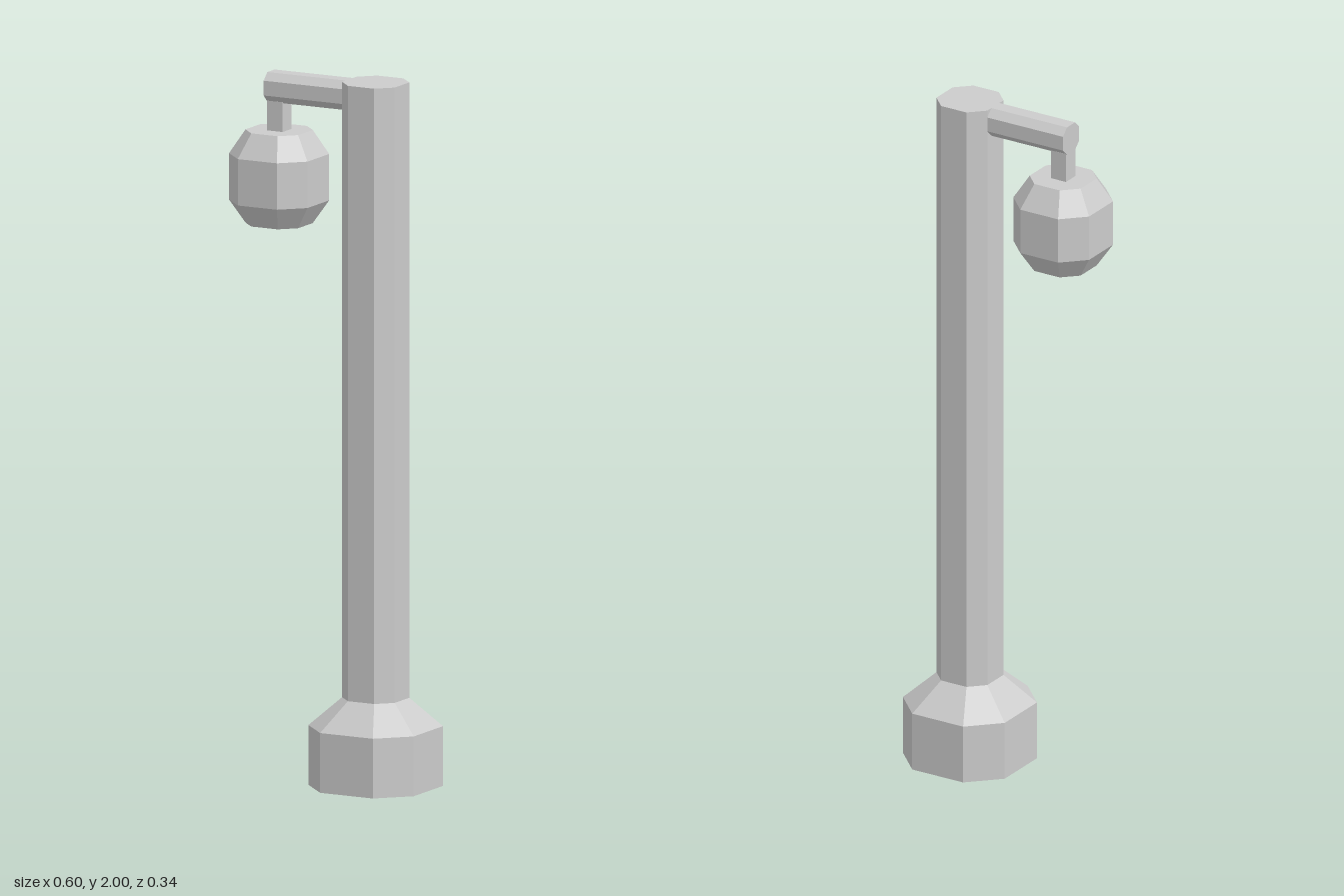
import * as THREE from 'three';

const material = new THREE.MeshStandardMaterial({ color: 0xcccccc, flatShading: true });

// Octagonal section: a square of half width h with its corners cut off, leaving flats of half width h / 2
function ring(y, h) {
  const f = h / 2;
  return [[h, f], [h, -f], [f, -h], [-f, -h], [-h, -f], [-h, f], [-f, h], [f, h]]
    .map(([x, z]) => new THREE.Vector3(x, y, z));
}

// Joins [height, halfWidth] sections along y and closes the chosen ends
function octagonLoft(sections, capBottom = true, capTop = true) {
  const rings = sections.map(([y, h]) => ring(y, h));
  const last = rings[rings.length - 1];
  const points = [];
  for (let r = 0; r < rings.length - 1; r++) {
    for (let k = 0; k < 8; k++) {
      const n = (k + 1) % 8;
      const a = rings[r][k], b = rings[r][n], c = rings[r + 1][n], d = rings[r + 1][k];
      points.push(a, b, c, a, c, d);
    }
  }
  for (let k = 1; k < 7; k++) {
    if (capBottom) points.push(rings[0][0], rings[0][k + 1], rings[0][k]);
    if (capTop) points.push(last[0], last[k], last[k + 1]);
  }
  const geometry = new THREE.BufferGeometry().setFromPoints(points);
  geometry.computeVertexNormals();
  return geometry;
}

export function createModel() {
  const group = new THREE.Group();
  const add = (name, geometry, x, y = 0) => {
    const mesh = new THREE.Mesh(geometry, material);
    mesh.name = name;
    mesh.position.set(x, y, 0);
    group.add(mesh);
    return mesh;
  };
  const postX = 0.132;
  const lampX = -0.176;

  // Foot with sloped shoulder, and the post rising from it
  add('base', octagonLoft([[0, 0.168], [0.17, 0.168], [0.25, 0.084]], true, false), postX);
  add('post', octagonLoft([[0.25, 0.084], [2, 0.084]], false, true), postX);

  // Horizontal arm, flush with the top of the post
  const arm = add('arm', octagonLoft([[0, 0.042], [0.25, 0.042]]), 0.048, 1.958);
  arm.rotation.z = Math.PI / 2;

  // Square hanger and the faceted lantern below it
  add('hanger', new THREE.BoxGeometry(0.05, 0.085, 0.05), lampX, 1.877);
  add('lantern', octagonLoft([[1.57, 0.084], [1.635, 0.125], [1.767, 0.125], [1.835, 0.084]]), lampX);

  return group;
}
